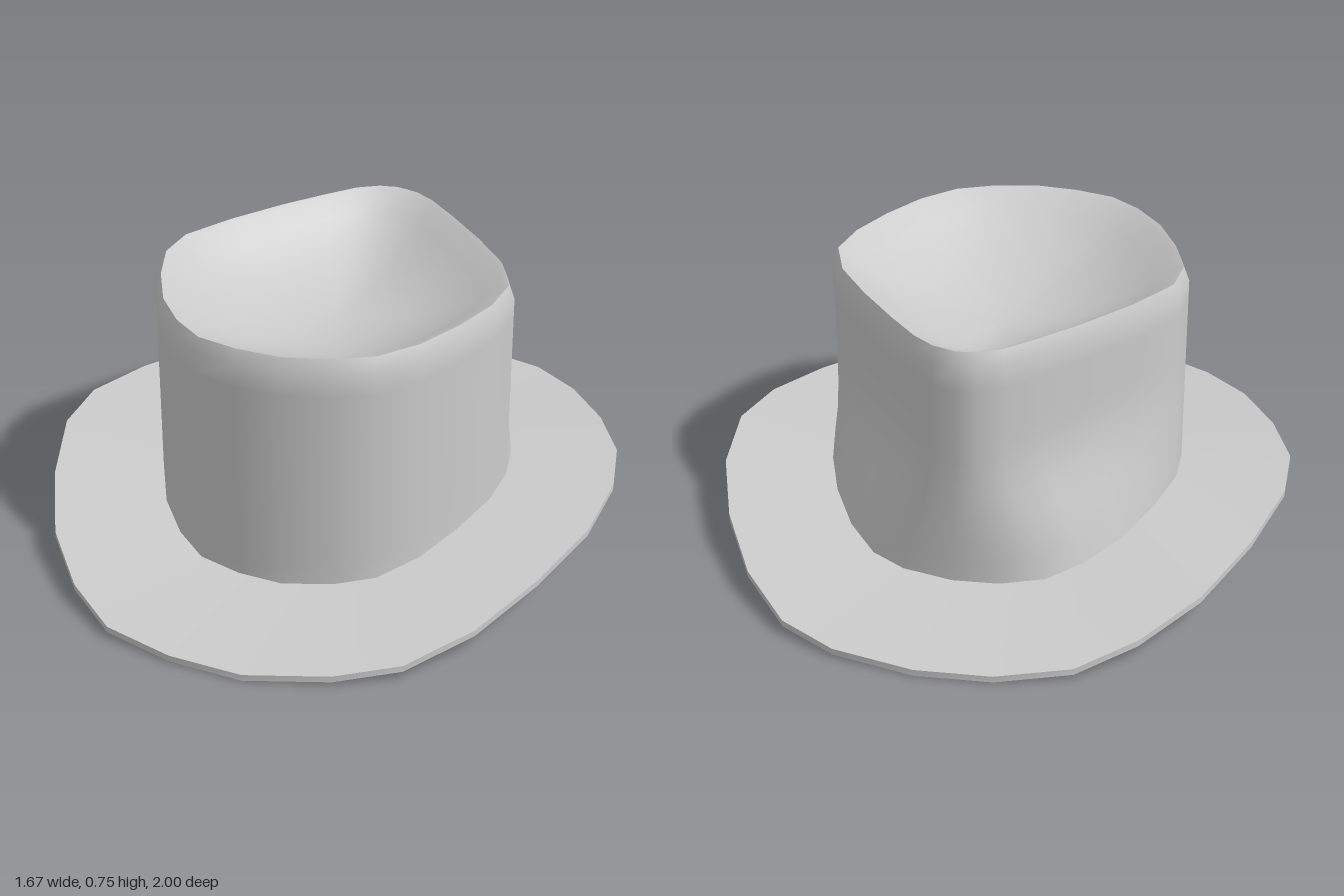
import * as THREE from 'three';
import { toCreasedNormals } from 'three/addons/utils/BufferGeometryUtils.js';

// Brim outline in plan (x, z); the crown foot is a scaled copy of it
const OUTLINE = [
  [-0.17, -0.99], [0.04, -1], [0.27, -0.96], [0.43, -0.88], [0.58, -0.71],
  [0.71, -0.48], [0.80, -0.24], [0.83, 0], [0.80, 0.23], [0.71, 0.47],
  [0.59, 0.70], [0.44, 0.87], [0.27, 0.95], [0.04, 1], [-0.17, 0.98],
  [-0.37, 0.92], [-0.52, 0.79], [-0.66, 0.60], [-0.77, 0.35], [-0.84, 0.10],
  [-0.84, -0.11], [-0.77, -0.36], [-0.66, -0.61], [-0.52, -0.80], [-0.37, -0.93],
];
const CROWN = 0.62;
const N = OUTLINE.length;

// The brim droops to front and back
const edgeY = (z) => 0.02 + 0.14 * (1 - Math.min(1, Math.abs(z)) ** 1.3);
const footY = (z) => 0.058 + 0.085 * (1 - Math.min(1, Math.abs(z) / CROWN) ** 1.5);

// One cross-section: heightAt(z) gives y, pinch narrows the back half
function ring(scale, heightAt, pinch = 0) {
  return OUTLINE.map(([ox, oz]) => {
    const narrow = oz < 0 ? 1 - 0.55 * pinch * Math.abs(oz) ** 1.4 : 1;
    const x = ox * scale * narrow, z = oz * scale;
    return [x, heightAt(z), z];
  });
}

// Skins a sequence of rings; a ring of scale 0 closes to a point
function loft(name, rings) {
  const index = [];
  const closed = (r) => Math.hypot(r[0][0] - r[7][0], r[0][2] - r[7][2]) < 1e-6;
  for (let i = 0; i < rings.length - 1; i++) {
    for (let j = 0; j < N; j++) {
      const k = (j + 1) % N;
      const a = i * N + j, b = i * N + k, c = a + N, d = b + N;
      if (!closed(rings[i])) index.push(a, c, b);
      if (!closed(rings[i + 1])) index.push(b, c, d);
    }
  }
  const geometry = new THREE.BufferGeometry();
  geometry.setAttribute('position', new THREE.Float32BufferAttribute(rings.flat(2), 3));
  geometry.setIndex(index);
  const mesh = new THREE.Mesh(
    toCreasedNormals(geometry, 0.65),
    new THREE.MeshStandardMaterial({ color: 0xcccccc, side: THREE.DoubleSide }),
  );
  mesh.name = name;
  return mesh;
}

export function createModel() {
  const hat = new THREE.Group();
  hat.name = 'hat';

  // Brim: closed underside, thin edge, upper surface up to the crown
  hat.add(loft('brim', [
    ring(0, () => 0.068),
    ring(CROWN * 0.5, (z) => 0.068 + 0.3 * (footY(z * 2) - 0.088)),
    ring(CROWN, (z) => footY(z) - 0.02),
    ring(1, (z) => edgeY(z) - 0.018),
    ring(1, edgeY),
    ring(CROWN, footY),
  ]));

  // Crown wall: pinched at the back, flaring out to the full foot
  const wall = [];
  const rows = 10;
  for (let i = 0; i <= rows; i++) {
    const t = i / rows;
    const pinch = THREE.MathUtils.smoothstep(t, -0.08, 0.6);
    wall.push(ring(CROWN, (z) => THREE.MathUtils.lerp(footY(z), 0.71, t), i ? pinch : 0));
  }

  // Bevelled rim and dished top
  const rim = [ring(0.6, () => 0.75, 1), ring(0.58, () => 0.742, 1)];
  const dish = [];
  for (let i = 1; i <= 8; i++) {
    const s = 1 - i / 8;
    dish.push(ring(0.58 * s, () => 0.742 - 0.17 * (1 - s * s), 1));
  }
  hat.add(loft('crown', [...wall, ...rim, ...dish]));

  return hat;
}
